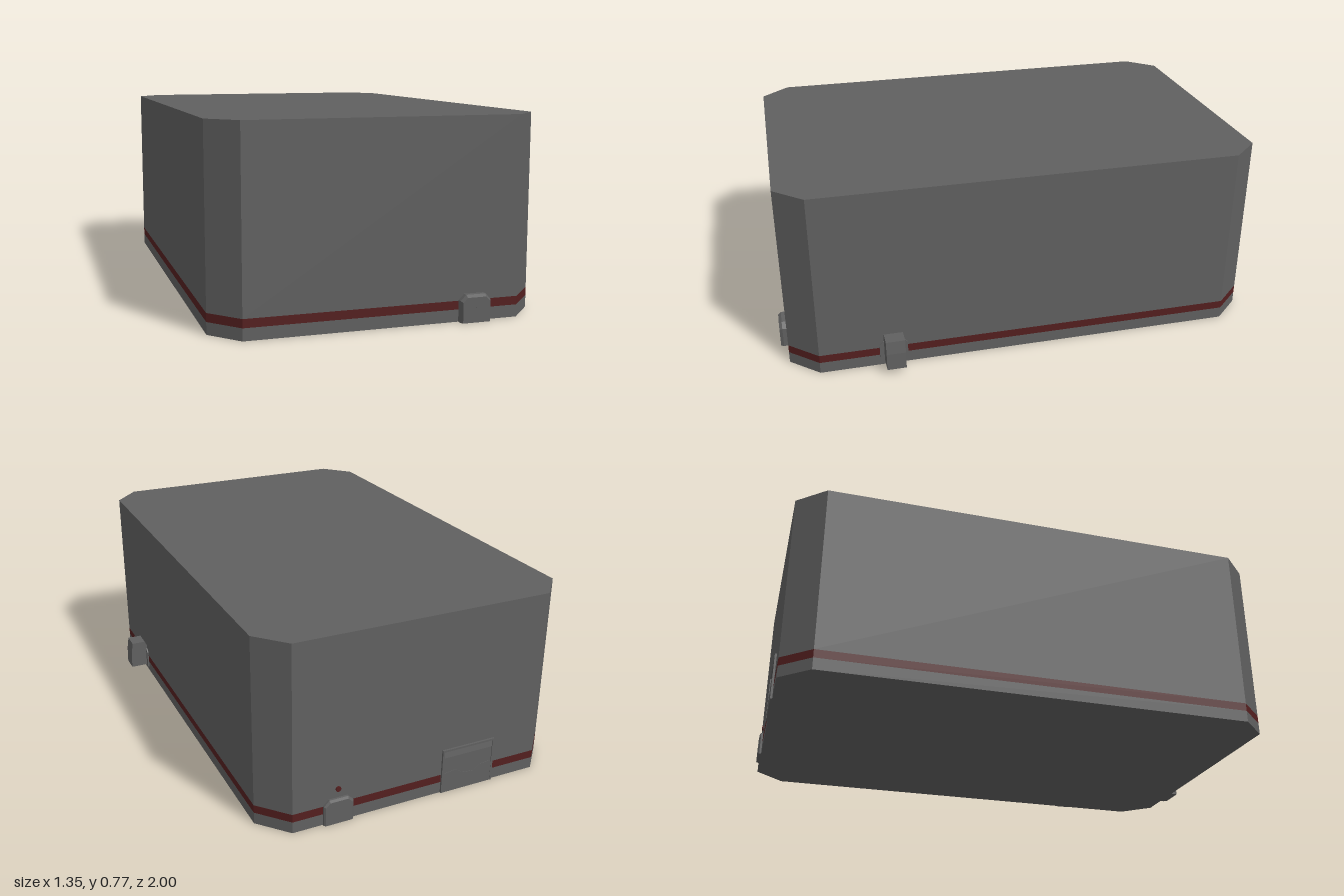
import * as THREE from 'three';

// Chamfered footprint, counter-clockwise seen from above (x, -z)
const X0 = -0.675, X1 = 0.595, Z0 = -0.985, Z1 = 0.97, CX = 0.105, CZ = 0.115;
const outline = [
  [X0 + CX, Z1], [X1 - CX, Z1], [X1, Z1 - CZ], [X1, Z0 + CZ],
  [X1 - CX, Z0], [X0 + CX, Z0], [X0, Z0 + CZ], [X0, Z1 - CZ],
];

// Flat-shaded geometry from quads of four corners each
function quads(list) {
  const pos = [];
  for (const [a, b, c, d] of list) pos.push(...a, ...b, ...c, ...a, ...c, ...d);
  const g = new THREE.BufferGeometry();
  g.setAttribute('position', new THREE.Float32BufferAttribute(pos, 3));
  g.computeVertexNormals();
  return g;
}

// One horizontal band of wall around the footprint
function band(y0, y1) {
  return quads(outline.map(([x, z], i) => {
    const [u, w] = outline[(i + 1) % outline.length];
    return [[x, y0, z], [u, y0, w], [u, y1, w], [x, y1, z]];
  }));
}

function shapeOf(points) {
  return new THREE.Shape(points.map(([x, y]) => new THREE.Vector2(x, y)));
}

function plate(points, depth) {
  return new THREE.ExtrudeGeometry(shapeOf(points), { depth, bevelEnabled: false });
}

export function createModel() {
  const model = new THREE.Group();
  const grey = new THREE.MeshStandardMaterial({ color: 0x606060 });
  grey.name = 'wall grey';
  const red = new THREE.MeshStandardMaterial({ color: 0x541f1f });
  red.name = 'dark red';

  const add = (name, geometry, material = grey, parent = model) => {
    const mesh = new THREE.Mesh(geometry, material);
    mesh.name = name;
    parent.add(mesh);
    return mesh;
  };

  // Main block with a painted stripe
  add('lowerWall', band(0, 0.047));
  add('stripe', band(0.047, 0.08), red);
  add('upperWall', band(0.08, 0.767));
  const footprint = shapeOf(outline.map(([x, z]) => [x, -z]));
  const roof = add('roof', new THREE.ShapeGeometry(footprint));
  roof.rotation.x = -Math.PI / 2;
  roof.position.y = 0.767;
  const floor = add('floor', new THREE.ShapeGeometry(shapeOf(outline)));
  floor.rotation.x = Math.PI / 2;

  // Doors: clipped upper corners, bevelled towards the outer face
  function door(name, depth) {
    const group = new THREE.Group();
    group.name = name;
    const ring = (w, h, c, z) => [
      [-w, 0, z], [w, 0, z], [w, h - c, z], [w - c, h, z], [-w + c, h, z], [-w, h - c, z],
    ];
    const back = ring(0.061, 0.105, 0.022, 0);
    const mid = ring(0.061, 0.105, 0.022, depth * 0.6);
    const front = ring(0.055, 0.096, 0.018, depth);
    const sides = [];
    for (const [a, b] of [[back, mid], [mid, front]]) {
      for (let i = 0; i < 6; i++) {
        const j = (i + 1) % 6;
        sides.push([a[i], a[j], b[j], b[i]]);
      }
    }
    add('doorFrame', quads(sides), grey, group);
    const face = add('doorFace', new THREE.ShapeGeometry(shapeOf(front)), grey, group);
    face.position.z = depth;
    const handle = add('doorHandle', new THREE.BoxGeometry(0.003, 0.026, 0.002), grey, group);
    handle.position.set(0, 0.057, depth);
    handle.rotation.z = 0.55;
    model.add(group);
    return group;
  }
  door('frontDoor', 0.03).position.set(0.311, 0, Z1);
  const backDoor = door('backDoor', 0.014);
  backDoor.position.set(0.306, 0, Z0);
  backDoor.rotation.y = Math.PI;

  // Small lamp above the back door
  const lamp = add('backLamp', new THREE.CylinderGeometry(0.011, 0.011, 0.008, 8), red);
  lamp.rotation.x = Math.PI / 2;
  lamp.position.set(0.306, 0.142, Z0 - 0.002);

  // Wide back hatch: frame, sloped head and a jagged lower panel
  const hatch = new THREE.Group();
  hatch.name = 'backHatch';
  hatch.position.set(-0.256, 0, Z0);
  hatch.rotation.y = Math.PI;
  const w = 0.117;
  add('hatchFrame', plate([
    [-w, 0], [-w + 0.008, 0], [-w + 0.008, 0.182], [w - 0.008, 0.182],
    [w - 0.008, 0], [w, 0], [w, 0.19], [-w, 0.19],
  ], 0.008), grey, hatch);
  const v = w - 0.008;
  add('hatchHead', quads([
    [[-v, 0.155, 0.007], [v, 0.155, 0.007], [v, 0.182, 0.001], [-v, 0.182, 0.001]],
  ]), grey, hatch);
  add('hatchPanel', plate([[-v, 0], [v, 0], [v, 0.155], [-v, 0.155]], 0.005), grey, hatch);
  add('hatchLowerPanel', plate([
    [-v, 0], [v, 0], [v, 0.092], [0.06, 0.088], [0.025, 0.066],
    [-0.02, 0.07], [-0.055, 0.092], [-v, 0.085],
  ], 0.007), grey, hatch);
  model.add(hatch);

  // Side box on a mounting flange, narrowing slightly at its outer top
  const flange = add('sideFlange', plate([
    [-0.057, 0.02], [0.057, 0.02], [0.057, 0.095], [0.042, 0.11], [-0.042, 0.11], [-0.057, 0.095],
  ], 0.006));
  flange.rotation.y = Math.PI / 2;
  flange.position.set(X1, 0, 0.558);
  const box = add('sideBox', plate([
    [X1, 0.025], [0.675, 0.025], [0.673, 0.095], [0.665, 0.147], [0.605, 0.147], [X1, 0.125],
  ], 0.077));
  box.position.z = 0.52;

  return model;
}
